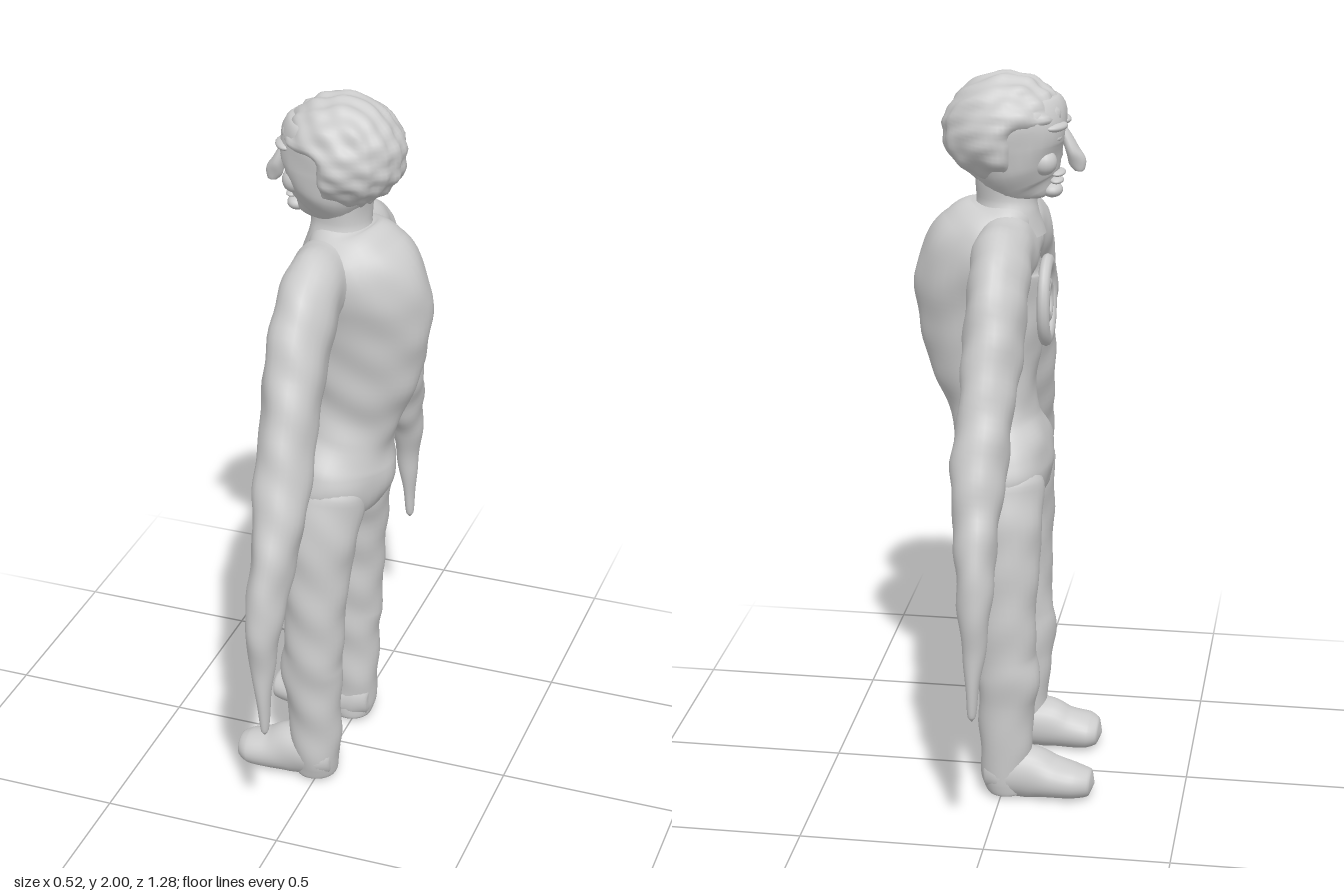
import * as THREE from 'three';

const material = new THREE.MeshStandardMaterial({ color: 0xcccccc, side: THREE.DoubleSide });

// Gentle hand-modelled unevenness
const lump = (x, y, z) => Math.sin(x * 31 + y * 17) * Math.sin(y * 23 - z * 29) + 0.6 * Math.sin(z * 47 + y * 38 + x * 20);

function addMesh(parent, name, geometry) {
  const mesh = new THREE.Mesh(geometry, material);
  mesh.name = name;
  parent.add(mesh);
  return mesh;
}

// Smooth tube through sections [x, y, z, radiusAlongRef, radiusAcross]
function loft(sections, { ref = [1, 0, 0], taper = 0, rough = 0.003, sides = 28, steps = 6, floor = -1 } = {}) {
  const path = new THREE.CatmullRomCurve3(sections.map(s => new THREE.Vector3(s[0], s[1], s[2])));
  const size = new THREE.CatmullRomCurve3(sections.map(s => new THREE.Vector3(s[3], s[4], 0)));
  const rows = (sections.length - 1) * steps;
  const axis = new THREE.Vector3(...ref);
  const positions = [], index = [];
  for (let i = 0; i <= rows; i++) {
    const c = path.getPoint(i / rows), r = size.getPoint(i / rows), t = path.getTangent(i / rows);
    const v = new THREE.Vector3().crossVectors(t, axis).normalize();
    const u = new THREE.Vector3().crossVectors(v, t).normalize();
    for (let j = 0; j < sides; j++) {
      const a = (j / sides) * Math.PI * 2;
      const p = c.clone()
        .addScaledVector(u, Math.cos(a) * Math.max(r.x, 0.001))
        .addScaledVector(v, Math.sin(a) * Math.max(r.y, 0.001) * (1 - taper * Math.cos(a)));
      const n = rough * lump(p.x, p.y, p.z) * Math.min(1, r.x / 0.06);
      p.addScaledVector(u, Math.cos(a) * n).addScaledVector(v, Math.sin(a) * n);
      positions.push(p.x, Math.max(p.y, floor), p.z);
      if (i < rows) {
        const k = (j + 1) % sides, b = i * sides, d = b + sides;
        index.push(b + j, b + k, d + j, b + k, d + k, d + j);
      }
    }
  }
  const g = new THREE.BufferGeometry();
  g.setAttribute('position', new THREE.Float32BufferAttribute(positions, 3));
  g.setIndex(index);
  g.computeVertexNormals();
  return g;
}

function ball(parent, name, x, y, z, rx, ry, rz) {
  const m = addMesh(parent, name, new THREE.SphereGeometry(1, 20, 14));
  m.position.set(x, y, z);
  m.scale.set(rx, ry, rz);
  return m;
}

// Head looks along -x
function buildHead() {
  const head = new THREE.Group();
  head.name = 'head';
  addMesh(head, 'face', loft([
    [-0.05, 1.665, 0, 0.001, 0.001], [-0.05, 1.672, 0, 0.06, 0.05], [-0.035, 1.70, 0, 0.095, 0.085],
    [-0.02, 1.75, 0, 0.115, 0.115], [-0.01, 1.81, 0, 0.135, 0.13], [-0.01, 1.87, 0, 0.14, 0.132],
    [0, 1.93, 0, 0.12, 0.11], [0, 1.97, 0, 0.001, 0.001]]));
  addMesh(head, 'nose', loft([
    [-0.125, 1.87, 0, 0.01, 0.01], [-0.145, 1.835, 0, 0.015, 0.02], [-0.163, 1.795, 0, 0.018, 0.026],
    [-0.176, 1.765, 0, 0.023, 0.018], [-0.182, 1.742, 0, 0.013, 0.012], [-0.182, 1.738, 0, 0.001, 0.001]], { sides: 14 }));
  ball(head, 'upperLip', -0.125, 1.735, 0, 0.02, 0.009, 0.04);
  ball(head, 'lowerLip', -0.122, 1.714, 0, 0.018, 0.009, 0.034);
  ball(head, 'chin', -0.11, 1.688, 0, 0.028, 0.02, 0.036);
  for (const s of [1, -1]) {
    const side = s > 0 ? 'left' : 'right';
    ball(head, side + 'Brow', -0.125, 1.868, s * 0.052, 0.026, 0.013, 0.045).rotation.y = s * 0.4;
    ball(head, side + 'Eye', -0.122, 1.838, s * 0.05, 0.017, 0.013, 0.025).rotation.y = s * 0.4;
    ball(head, side + 'Cheek', -0.095, 1.775, s * 0.06, 0.035, 0.035, 0.035);
  }
  // Hair: rippled cap, drawn back over the face
  const hair = new THREE.SphereGeometry(1, 72, 48);
  const pos = hair.attributes.position, p = new THREE.Vector3();
  for (let i = 0; i < pos.count; i++) {
    p.fromBufferAttribute(pos, i);
    const wave = 1 + 0.022 * Math.sin(p.z * 19 + 1.5 * Math.sin(p.x * 5)) + 0.016 * Math.sin(p.x * 12 + p.y * 14)
      + 0.01 * Math.sin(p.y * 23 + p.z * 9);
    const open = THREE.MathUtils.smoothstep(-p.x, 0.02, 0.4) * THREE.MathUtils.smoothstep(-p.y, -0.32, 0.02);
    const tuck = 1 - 0.25 * THREE.MathUtils.smoothstep(-p.y, 0.3, 1);
    pos.setXYZ(i, 0.012 + p.x * 0.165 * wave * tuck * (1 - 0.5 * open), 1.842 + p.y * 0.154 * wave,
      p.z * 0.154 * wave * tuck * (1 - 0.3 * open));
  }
  hair.computeVertexNormals();
  addMesh(head, 'hair', hair);
  return head;
}

export function createModel() {
  const model = new THREE.Group();
  model.name = 'figure';

  // Trunk with rounded back, narrow waist and pelvis
  addMesh(model, 'trunk', loft([
    [0.01, 0.785, 0, 0.001, 0.001], [0.01, 0.80, 0, 0.07, 0.09], [0.012, 0.85, 0, 0.115, 0.175],
    [0.02, 0.92, 0, 0.138, 0.195], [0.025, 0.98, 0, 0.135, 0.178], [0.04, 1.05, 0, 0.118, 0.135],
    [0.053, 1.12, 0, 0.125, 0.115], [0.07, 1.22, 0, 0.152, 0.12], [0.077, 1.33, 0, 0.17, 0.128],
    [0.08, 1.43, 0, 0.178, 0.145], [0.07, 1.51, 0, 0.165, 0.16], [0.045, 1.57, 0, 0.135, 0.155],
    [0.015, 1.63, 0, 0.09, 0.11], [0.01, 1.665, 0, 0.05, 0.06], [0.01, 1.67, 0, 0.001, 0.001]],
    { taper: 0.15, sides: 40 }));

  addMesh(model, 'neck', loft([
    [0.01, 1.57, 0, 0.1, 0.12], [0.01, 1.63, 0, 0.086, 0.09], [0.01, 1.67, 0, 0.08, 0.078],
    [0.01, 1.74, 0, 0.085, 0.08]]));

  // Round raised chest ornament
  const ornament = new THREE.Group();
  ornament.name = 'chestOrnament';
  ornament.position.set(-0.097, 1.385, 0);
  ornament.rotation.y = -Math.PI / 2;
  const rim = addMesh(ornament, 'ornamentRim', new THREE.TorusGeometry(0.08, 0.017, 10, 36));
  const inner = addMesh(ornament, 'ornamentInnerRing', new THREE.TorusGeometry(0.036, 0.013, 10, 28));
  rim.scale.y = inner.scale.y = 1.3;
  model.add(ornament);

  for (const s of [1, -1]) {
    const side = s > 0 ? 'left' : 'right';
    // Arm from the shoulder girdle to the pointed hand
    addMesh(model, side + 'Arm', loft([
      [0.005, 1.54, 0, 0.085, 0.08], [0.0, 1.54, s * 0.1, 0.085, 0.095], [-0.003, 1.515, s * 0.2, 0.08, 0.112],
      [-0.002, 1.44, s * 0.275, 0.08, 0.108], [0, 1.33, s * 0.335, 0.078, 0.095], [0.005, 1.2, s * 0.402, 0.072, 0.084],
      [0.012, 1.08, s * 0.455, 0.073, 0.084], [0.012, 0.96, s * 0.503, 0.062, 0.08],
      [0.008, 0.85, s * 0.55, 0.052, 0.074], [0.006, 0.74, s * 0.585, 0.045, 0.055],
      [0.006, 0.62, s * 0.595, 0.03, 0.033], [0.01, 0.52, s * 0.6, 0.018, 0.024],
      [0.012, 0.44, s * 0.602, 0.01, 0.013], [0.012, 0.425, s * 0.602, 0.001, 0.001]], { rough: 0.004 }));
    // Leg with a slight bulge below the knee
    addMesh(model, side + 'Leg', loft([
      [0.01, 0.98, s * 0.1, 0.06, 0.05], [0.005, 0.9, s * 0.11, 0.11, 0.09], [0, 0.8, s * 0.132, 0.104, 0.094],
      [-0.005, 0.7, s * 0.147, 0.096, 0.086], [-0.008, 0.55, s * 0.16, 0.085, 0.08],
      [-0.012, 0.42, s * 0.162, 0.083, 0.079], [-0.018, 0.36, s * 0.163, 0.088, 0.078],
      [-0.014, 0.28, s * 0.162, 0.078, 0.073], [-0.01, 0.15, s * 0.16, 0.073, 0.07],
      [-0.01, 0.05, s * 0.158, 0.066, 0.066], [-0.01, 0.012, s * 0.157, 0.056, 0.058],
      [-0.01, 0.004, s * 0.157, 0.001, 0.001]], { floor: 0.002 }));
    // Foot pointing along -x
    const toe = s > 0 ? -0.242 : -0.258;
    addMesh(model, side + 'Foot', loft([
      [0.052, 0.06, s * 0.157, 0.001, 0.001], [0.045, 0.06, s * 0.157, 0.048, 0.045], [0, 0.07, s * 0.157, 0.068, 0.075],
      [-0.08, 0.068, s * 0.158, 0.067, 0.074], [-0.14, 0.056, s * 0.159, 0.066, 0.058],
      [-0.2, 0.049, s * 0.16, 0.064, 0.049], [toe + 0.013, 0.046, s * 0.16, 0.046, 0.036],
      [toe, 0.045, s * 0.16, 0.001, 0.001]], { ref: [0, 0, 1], rough: 0.002, floor: 0 }));
  }

  model.add(buildHead());
  return model;
}
